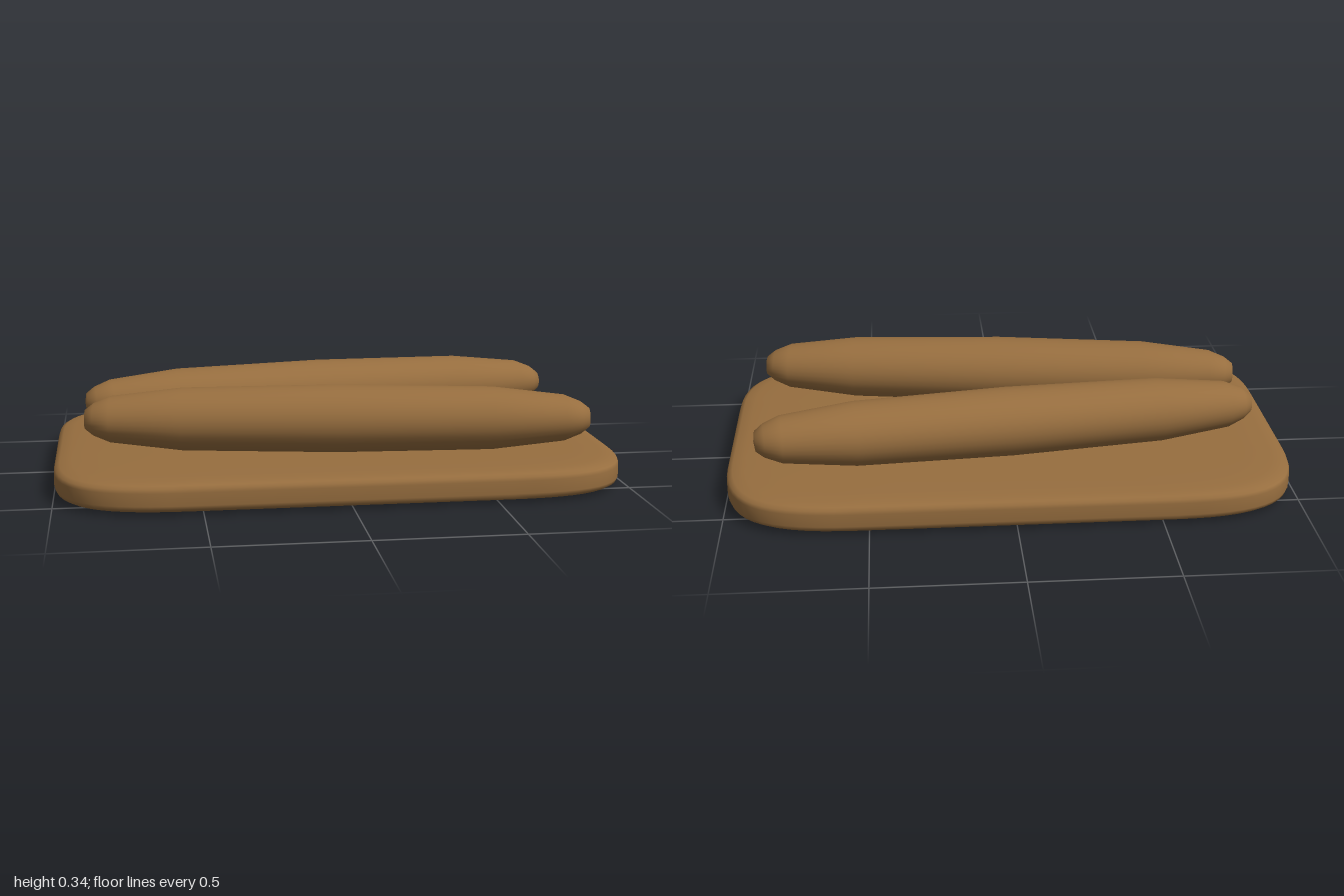
import * as THREE from 'three';
import { mergeVertices } from 'three/addons/utils/BufferGeometryUtils.js';

const vec = (pairs) => pairs.map(([x, y]) => new THREE.Vector2(x, y));

// Weld the seam and smooth the surface
function smooth(geometry) {
  geometry.deleteAttribute('uv');
  geometry.deleteAttribute('normal');
  const welded = mergeVertices(geometry, 1e-5);
  welded.computeVertexNormals();
  return welded;
}

// Slab with soft rectangular outline: a lathe whose rings follow the outline
function boardGeometry() {
  const corner = new THREE.CubicBezierCurve(...vec([[0.55, 0.65], [0.87, 0.65], [1, 0.56], [1, 0.26]]));
  const quarter = [new THREE.Vector2(0, 0.65), ...corner.getPoints(14), new THREE.Vector2(1, 0)];
  const n = quarter.length - 1;
  const lower = [[0, 0], [0.6, 0], [0.85, 0.002], [0.94, 0.005], [0.98, 0.012], [0.995, 0.021], [1, 0.034]];
  const profile = vec([...lower, ...lower.map(([r, y]) => [r, 0.112 - y]).reverse()]);
  const geometry = new THREE.LatheGeometry(profile, 4 * n);
  const pos = geometry.attributes.position;
  for (let i = 0; i <= 4 * n; i++) {
    const quad = Math.floor(i / n) % 4;
    const p = quarter[quad % 2 ? n - (i % n) : i % n];
    const sx = quad < 2 ? 1 : -1;
    const sz = quad === 0 || quad === 3 ? 1 : -1;
    profile.forEach((q, j) => {
      pos.setXYZ(i * profile.length + j, sx * p.x * q.x, q.y, sz * p.y * q.x);
    });
  }
  return smooth(geometry);
}

// Long tapering loaf lying along x, slightly wider than tall
function loafGeometry() {
  const half = [[0, -0.9], [0.035, -0.895], [0.058, -0.865], [0.082, -0.805], [0.111, -0.55]];
  const profile = vec([...half, [0.12, 0], ...half.map(([r, s]) => [r, -s]).reverse()]);
  const geometry = new THREE.LatheGeometry(profile, 32);
  geometry.rotateZ(-Math.PI / 2);
  geometry.scale(1, 1, 1.15);
  return smooth(geometry);
}

export function createModel() {
  const model = new THREE.Group();
  model.name = 'loavesOnBoard';
  const brown = new THREE.MeshStandardMaterial({ color: 0x976e3f });
  brown.name = 'warm brown';

  const board = new THREE.Mesh(boardGeometry(), brown);
  board.name = 'board';
  model.add(board);

  // Two loaves, spreading apart toward +x
  const geometry = loafGeometry();
  for (const side of [1, -1]) {
    const loaf = new THREE.Mesh(geometry, brown);
    loaf.name = side > 0 ? 'frontLoaf' : 'backLoaf';
    loaf.position.set(0, 0.225, side * 0.25);
    loaf.rotation.y = -side * 0.118;
    model.add(loaf);
  }
  return model;
}
